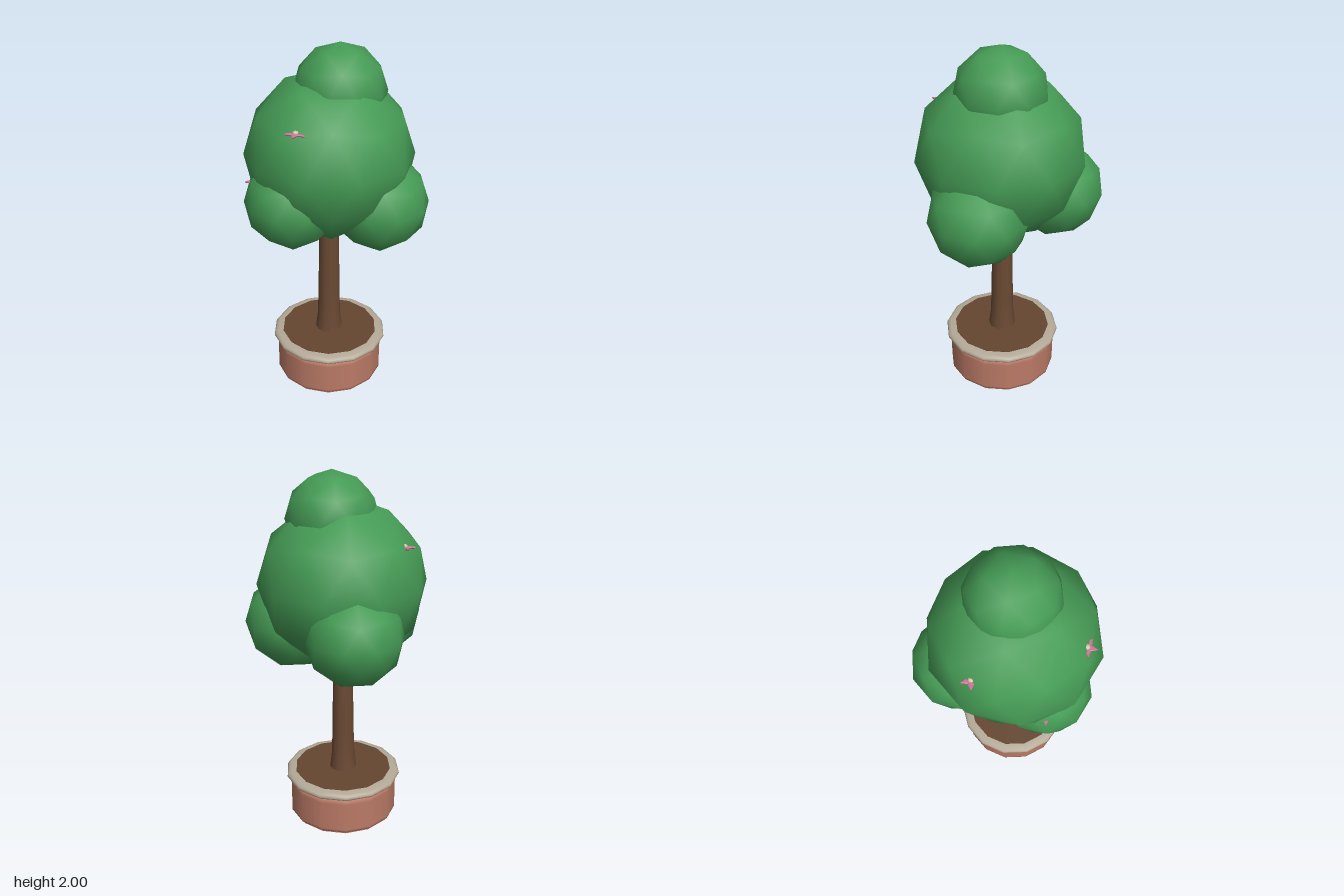
import * as THREE from 'three';

const mat = (name, color, side = THREE.FrontSide) => {
  const m = new THREE.MeshStandardMaterial({ color, side });
  m.name = name;
  return m;
};

export function createModel() {
  const leaf = mat('leaf green', 0x459b55);
  const bark = mat('bark brown', 0x6b4a34);
  const soilBrown = mat('soil brown', 0x654630);
  const clay = mat('terracotta', 0xbb7a66);
  const stone = mat('pale rim', 0xb5aa98);
  const pink = mat('petal pink', 0xcf7599);
  const cream = mat('flower centre cream', 0xd2c8a6);

  const tree = new THREE.Group();
  tree.name = 'pottedTree';
  const add = (name, geometry, material, x, y, z, parent = tree) => {
    const mesh = new THREE.Mesh(geometry, material);
    mesh.name = name;
    mesh.position.set(x, y, z);
    parent.add(mesh);
    return mesh;
  };
  const lathe = (points, sides) =>
    new THREE.LatheGeometry(points.map(([r, y]) => new THREE.Vector2(r, y)), sides);

  // Pot, rim and soil share one 14-sided outline
  const potZ = -0.03;
  add('pot', lathe([[0, 0.005], [0.3, 0.005], [0.3, 0.005], [0.315, 0.018], [0.315, 0.03],
    [0.315, 0.2], [0.315, 0.215], [0.305, 0.228], [0.28, 0.235]], 14), clay, 0, 0, potZ);
  add('potBase', new THREE.CylinderGeometry(0.3, 0.3, 0.02, 14), clay, 0, 0.01, potZ);
  add('potRim', lathe([[0.275, 0.232], [0.315, 0.23], [0.332, 0.24], [0.338, 0.252],
    [0.332, 0.264], [0.315, 0.274], [0.275, 0.276]], 14), stone, 0, 0, potZ);
  add('soil', new THREE.CylinderGeometry(0.283, 0.283, 0.05, 14), soilBrown, 0, 0.253, potZ);

  // Trunk flaring at the foot
  add('trunk', lathe([[0.08, 0.27], [0.068, 0.37], [0.064, 0.5], [0.056, 0.95], [0.05, 1.2]], 12),
    bark, -0.003, 0, potZ);

  // Foliage: faceted balls with a vertex at each pole
  const ball = new THREE.IcosahedronGeometry(1, 1);
  ball.rotateZ(-Math.atan(2 / (1 + Math.sqrt(5))));
  const foliage = [
    ['crown', 0.005, 1.41, -0.025, 0.462],
    ['topTuft', 0.035, 1.755, -0.07, 0.248],
    ['frontTuft', 0, 1.195, 0.218, 0.26],
    ['leftBackTuft', 0.243, 1.17, -0.18, 0.27],
    ['rightBackTuft', -0.25, 1.198, -0.175, 0.264],
  ];
  for (const [name, x, y, z, r] of foliage) add(name, ball, leaf, x, y, z).scale.setScalar(r);

  // Five-pointed blossoms lying flat
  const star = new THREE.Shape();
  for (let i = 0; i < 10; i++) {
    const a = (i * Math.PI) / 5, r = i % 2 ? 0.026 : 0.056;
    star[i ? 'lineTo' : 'moveTo'](r * Math.cos(a), r * Math.sin(a));
  }
  star.closePath();
  const petals = new THREE.ExtrudeGeometry(star, {
    depth: 0.003, bevelEnabled: true, bevelSegments: 1, bevelThickness: 0.004,
    bevelSize: 0.005, bevelOffset: -0.005,
  });
  petals.rotateX(-Math.PI / 2);
  const bead = new THREE.IcosahedronGeometry(0.016, 1);
  const blossoms = [
    [-0.345, 1.638, 0.08, 60],
    [0.17, 1.638, 0.308, 54],
    [-0.125, 1.3, 0.367, 56],
  ];
  for (const [x, y, z, degrees] of blossoms) {
    const blossom = new THREE.Group();
    blossom.name = 'blossom';
    blossom.position.set(x, y, z);
    blossom.rotation.y = -THREE.MathUtils.degToRad(degrees);
    tree.add(blossom);
    add('petals', petals, pink, 0, 0, 0, blossom);
    add('blossomCentre', bead, cream, 0, 0.008, 0, blossom).scale.y = 0.7;
  }
  return tree;
}
